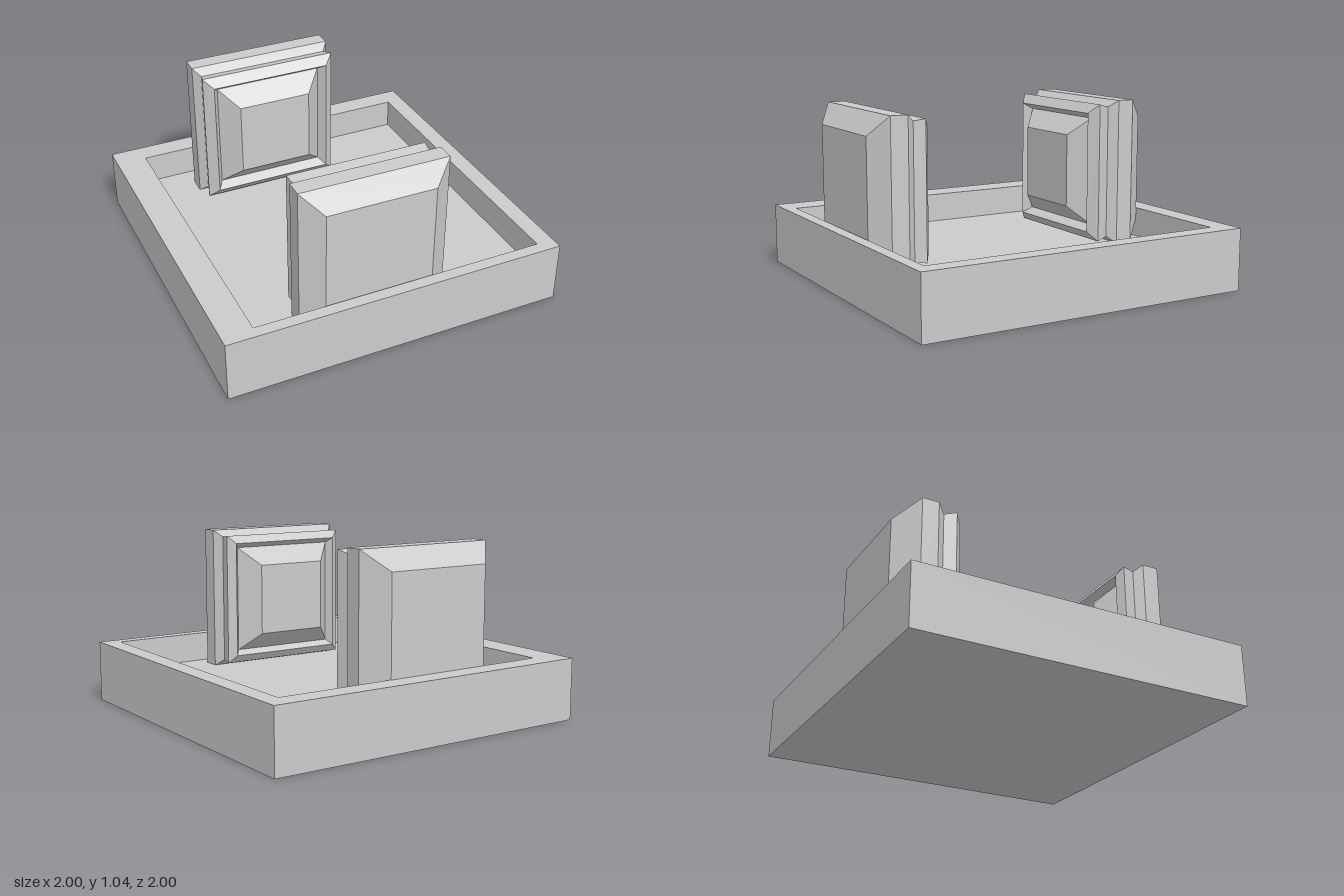
import * as THREE from 'three';

const material = new THREE.MeshStandardMaterial({ color: 0xcccccc, flatShading: true });
const FLOOR = 0.185, RIM = 0.36;

function addMesh(parent, name, geometry) {
  const mesh = new THREE.Mesh(geometry, material);
  mesh.name = name;
  parent.add(mesh);
  return mesh;
}

// Stepped square block: rings of [z, half width], capped at both ends
function steppedBlock(rings) {
  const points = [
    [rings[0][0], 0], ...rings, [rings[rings.length - 1][0], 0],
  ].map(([z, h]) => new THREE.Vector2(h * Math.SQRT2, z));
  return new THREE.LatheGeometry(points, 4, Math.PI / 4)
    .rotateX(Math.PI / 2)
    .scale(1, 0.98, 1);
}

export function createModel() {
  const model = new THREE.Group();
  model.name = 'trayWithBlocks';

  // Tray: walls around a slightly off-centre recess, and its floor
  const tray = new THREE.Group();
  tray.name = 'tray';
  model.add(tray);
  const [x0, x1, z0, z1] = [-0.82, 0.895, -0.87, 0.93];
  const outline = new THREE.Shape([[-1, -1], [1, -1], [1, 1], [-1, 1]].map(p => new THREE.Vector2(...p)));
  outline.holes.push(new THREE.Path(
    [[x0, -z1], [x0, -z0], [x1, -z0], [x1, -z1]].map(p => new THREE.Vector2(...p))));
  addMesh(tray, 'trayWalls', new THREE.ExtrudeGeometry(outline, { depth: RIM, bevelEnabled: false })
    .rotateX(-Math.PI / 2));
  addMesh(tray, 'trayFloor', new THREE.BoxGeometry(x1 - x0, FLOOR, z1 - z0)
    .translate((x0 + x1) / 2, FLOOR / 2, (z0 + z1) / 2));

  // Rear block: bevelled back, groove, frame, and raised panel facing inwards
  const rear = addMesh(model, 'rearBlock', steppedBlock([
    [-0.875, 0.32], [-0.745, 0.435], [-0.645, 0.435], [-0.597, 0.395], [-0.525, 0.415],
    [-0.478, 0.36], [-0.53, 0.325], [-0.427, 0.22],
  ]));
  rear.position.set(-0.115, 0.61, 0);

  // Front block: the same idea facing the other way, turned very slightly
  const zf = 0.72;
  const front = addMesh(model, 'frontBlock', steppedBlock([
    [0.513, 0.217], [0.62, 0.325], [0.58, 0.355], [0.612, 0.402], [0.682, 0.392],
    [0.73, 0.432], [0.832, 0.432], [0.92, 0.315],
  ].map(([z, h]) => [z - zf, h])));
  front.position.set(-0.087, 0.607, zf);
  front.rotation.y = -0.012;

  return model;
}
